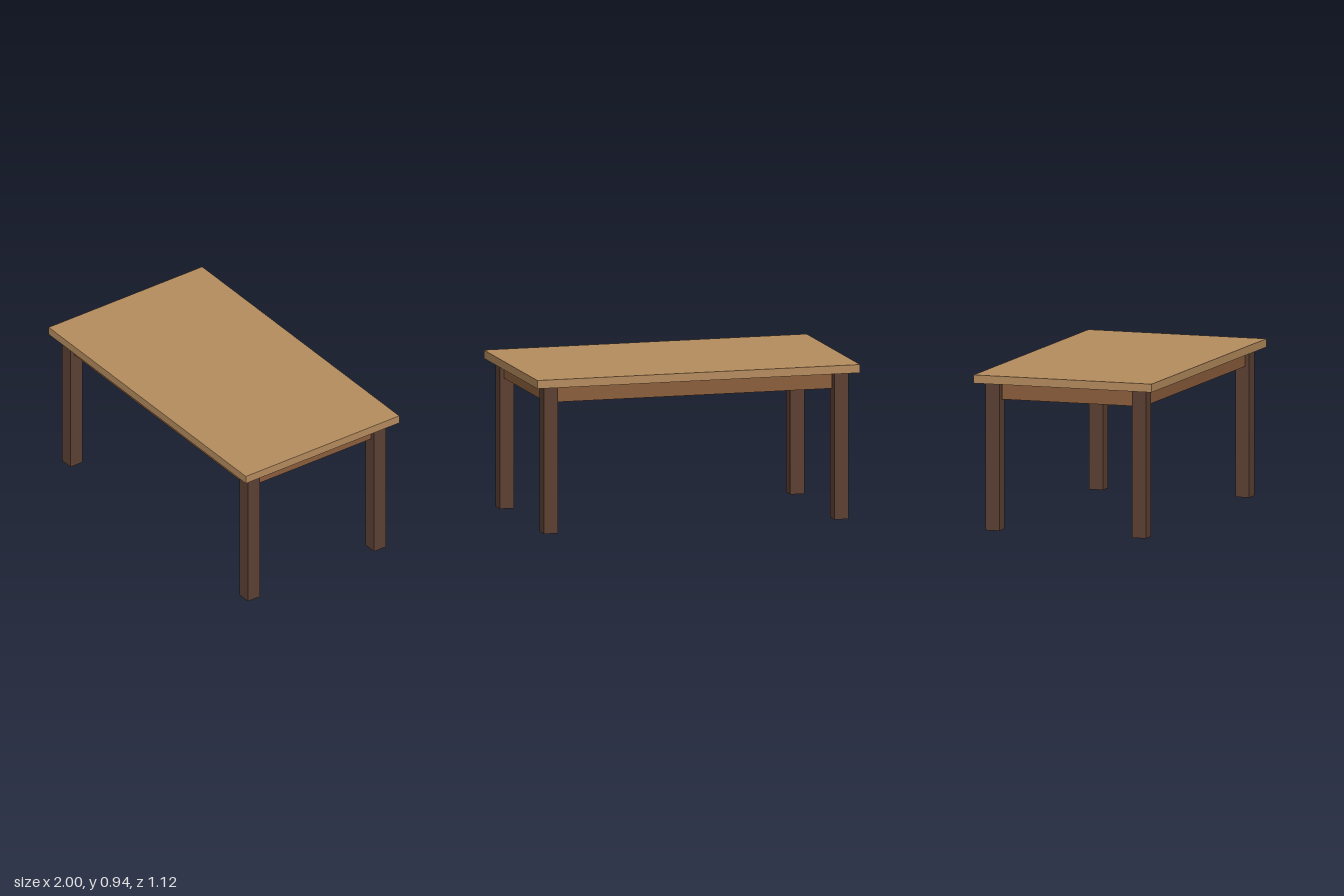
import * as THREE from 'three';

export function createModel() {
  const material = (name, color) => {
    const m = new THREE.MeshStandardMaterial({ color });
    m.name = name;
    return m;
  };
  const topWood = material('light wood', 0xb58c5e);
  const apronWood = material('medium wood', 0x8b5e3c);
  const legWood = material('dark wood', 0x5c4033);

  const table = new THREE.Group();
  table.name = 'table';
  const addBox = (name, mat, [w, h, d], [x, y, z]) => {
    const mesh = new THREE.Mesh(new THREE.BoxGeometry(w, h, d), mat);
    mesh.name = name;
    mesh.position.set(x, y, z);
    table.add(mesh);
  };

  const height = 0.9375, topThick = 0.05, under = height - topThick;
  const legX = 0.9, legZ = 0.4625, legSize = 0.0875;
  const apronHeight = 0.1, apronThick = 0.0375, apronY = under - apronHeight / 2;

  // Flat slab on top
  addBox('tabletop', topWood, [2, topThick, 1.125], [0, height - topThick / 2, 0]);

  // Square legs, set in from the corners
  for (const sx of [-1, 1]) {
    for (const sz of [-1, 1]) {
      const name = (sz > 0 ? 'front' : 'back') + (sx > 0 ? 'Left' : 'Right') + 'Leg';
      addBox(name, legWood, [legSize, under, legSize], [sx * legX, under / 2, sz * legZ]);
    }
  }

  // Aprons between the legs, stopping just short of them
  for (const s of [-1, 1]) {
    addBox(s > 0 ? 'frontApron' : 'backApron', apronWood,
      [1.7, apronHeight, apronThick], [0, apronY, s * legZ]);
    addBox(s > 0 ? 'leftApron' : 'rightApron', apronWood,
      [apronThick, apronHeight, 0.825], [s * legX, apronY, 0]);
  }
  return table;
}
